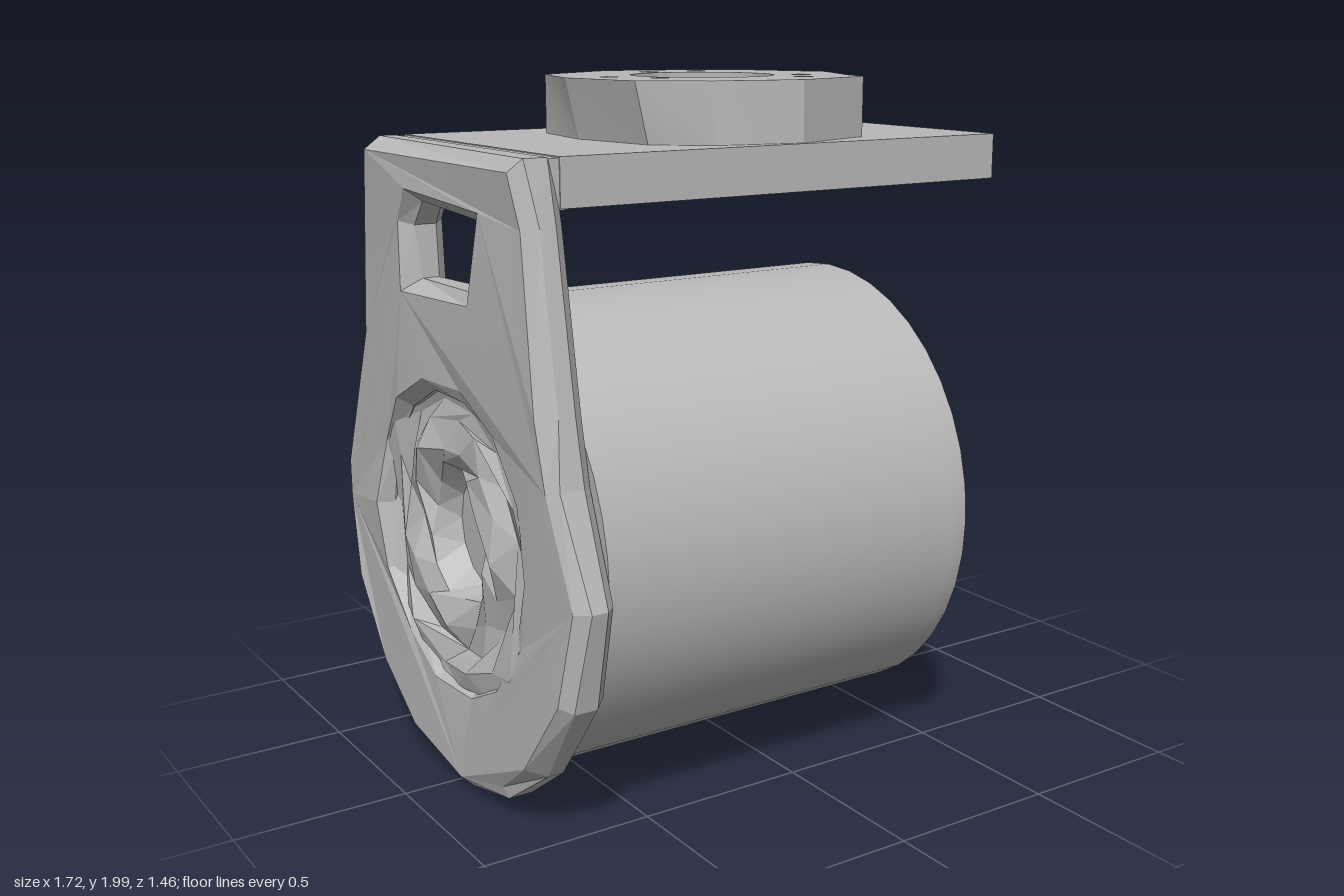
import * as THREE from 'three';
import { toCreasedNormals } from 'three/addons/utils/BufferGeometryUtils.js';

const TAU = Math.PI * 2;

// Repeatable value in -1..1 from a position, so shared corners move together
function noise(x, y, z) {
  const s = Math.sin(Math.round(x * 500) * 12.99 + Math.round(y * 500) * 78.23 + Math.round(z * 500) * 37.72) * 4375.85;
  return (s - Math.floor(s)) * 2 - 1;
}

function circlePath(x, y, r, sides) {
  const pts = [];
  for (let i = 0; i < sides; i++) {
    const a = (i / sides) * TAU;
    pts.push(new THREE.Vector2(x + r * Math.cos(a), y + r * Math.sin(a)));
  }
  return new THREE.Path(pts);
}

// Outline and hole points are pairs; z is flipped so the shape can be turned into place
const flipped = (pairs) => pairs.map(([a, b]) => new THREE.Vector2(a, -b));

export function createModel() {
  const model = new THREE.Group();
  const steel = new THREE.MeshStandardMaterial({ color: 0xb8b8b8 });
  steel.name = 'grey metal';

  function add(name, geometry, crease = 0.35) {
    const mesh = new THREE.Mesh(toCreasedNormals(geometry, crease), steel);
    mesh.name = name;
    model.add(mesh);
    return mesh;
  }

  // Extrude upwards from y, with shape drawn in x and -z
  function slab(shape, y, height) {
    const g = new THREE.ExtrudeGeometry(shape, { depth: height, bevelEnabled: false });
    return g.rotateX(-Math.PI / 2).translate(0, y, 0);
  }

  // Motor body with a drilled end cap
  const axisY = 0.74, radius = 0.668;
  add('motorBody', new THREE.CylinderGeometry(radius, radius, 1.15, 40)
    .rotateZ(Math.PI / 2).translate(-0.135, axisY, 0));
  const cap = new THREE.Shape(circlePath(0, axisY, radius, 40).getPoints());
  for (const z of [-0.315, 0.315]) {
    for (const y of [0.43, 1.06]) cap.holes.push(circlePath(-z, y, 0.028, 6));
  }
  add('motorEndCap', new THREE.ExtrudeGeometry(cap, { depth: 0.05, bevelEnabled: false })
    .rotateY(Math.PI / 2).translate(0.44, 0, 0));

  // Top plate and mounting ring share the centre bore and six screw holes
  const screws = [[-0.3, 0], [-0.22, 0.14], [0.27, 0.14], [0.18, 0.27], [0.18, -0.28], [0.01, -0.28]];
  const drill = (shape) => {
    shape.holes.push(circlePath(0.015, 0, 0.21, 24));
    for (const [x, z] of screws) shape.holes.push(circlePath(x, -z, 0.032, 5));
    return shape;
  };
  const plate = new THREE.Shape(flipped([[-0.715, 0.46], [0.735, 0.46], [0.735, -0.47], [-0.715, -0.47]]));
  add('topPlate', slab(drill(plate), 1.7, 0.13));
  const ring = new THREE.Shape(flipped([
    [-0.43, -0.02], [-0.38, 0.27], [-0.2, 0.39], [0.05, 0.445], [0.33, 0.35], [0.36, 0.24],
    [0.48, -0.02], [0.36, -0.3], [0.08, -0.44], [-0.07, -0.44], [-0.35, -0.28],
  ]));
  const ringGeometry = slab(drill(ring), 1.83, 0.17);
  // Left flank leans inward toward the plate
  const rp = ringGeometry.attributes.position;
  for (let i = 0; i < rp.count; i++) {
    if (rp.getY(i) < 1.9 && rp.getX(i) < -0.36) rp.setX(i, rp.getX(i) + 0.04);
  }
  add('mountingRing', ringGeometry, 0.4);

  // Jagged lip on the free end of the top plate
  const lip = [[0.735, 0.45], [0.79, 0.2], [0.83, 0.1], [0.77, -0.02], [0.86, -0.12], [0.765, -0.22], [0.735, -0.46]];
  const lipCorners = [];
  for (let i = 0; i < lip.length - 1; i++) {
    const [xa, za] = lip[i], [xb, zb] = lip[i + 1];
    const a = [xa, 1.7, za], b = [xb, 1.7, zb];
    const topA = [0.73, 1.8, za], topB = [0.73, 1.8, zb];
    const lowA = [0.6, 1.685, za], lowB = [0.6, 1.685, zb];
    lipCorners.push(topA, a, b, topA, b, topB, lowA, b, a, lowA, lowB, b);
  }
  const lipGeometry = new THREE.BufferGeometry();
  lipGeometry.setAttribute('position', new THREE.Float32BufferAttribute(lipCorners.flat(), 3));
  lipGeometry.computeVertexNormals();
  add('plateLip', lipGeometry, 0.1);

  // Side bracket: rough tapered plate with a window and a round opening
  const bracket = new THREE.Shape(flipped([
    [0.46, -1.83], [0.5, -1.66], [0.58, -1.2], [0.62, -1.02], [0.73, -0.73], [0.67, -0.45],
    [0.48, -0.2], [0.3, -0.07], [0.06, -0.01], [-0.27, -0.06], [-0.5, -0.2], [-0.65, -0.45],
    [-0.73, -0.7], [-0.73, -0.82], [-0.58, -1.25], [-0.49, -1.7], [-0.46, -1.83],
  ].map(([z, y]) => [-z, y])));
  bracket.holes.push(new THREE.Path(flipped([
    [-0.21, -1.65], [-0.15, -1.46], [0.19, -1.45], [0.2, -1.6], [0.15, -1.67],
  ])));
  bracket.holes.push(circlePath(0, axisY, 0.42, 14));
  const bracketGeometry = new THREE.ExtrudeGeometry(bracket, {
    depth: 0.06, bevelEnabled: true, bevelThickness: 0.035, bevelSize: 0.035, bevelOffset: -0.035, bevelSegments: 1,
  }).rotateY(Math.PI / 2).translate(-0.81, 0, 0);
  const bp = bracketGeometry.attributes.position;
  for (let i = 0; i < bp.count; i++) {
    const x = bp.getX(i);
    if (x < -0.76) bp.setX(i, x + 0.015 * noise(x, bp.getY(i), bp.getZ(i)));
  }
  add('sideBracket', bracketGeometry, 0.1);

  // Rough hub around the motor shaft, made of jittered rings
  const rings = [[0.02, -0.715], [0.17, -0.715], [0.2, -0.81], [0.27, -0.82], [0.34, -0.8], [0.4, -0.82], [0.46, -0.83]];
  const sides = 14;
  const hubPoint = (r, i) => {
    const [rad, x] = rings[r];
    const k = i % sides, a = ((k + (r % 2) * 0.5) / sides) * TAU;
    const n = r > 1 ? noise(r, k, 3) : 0;
    const rr = rad + 0.02 * noise(k, r, 7) * (r > 1 ? 1 : 0);
    return [x + 0.03 * n, axisY + rr * Math.cos(a), rr * Math.sin(a)];
  };
  const hubCorners = [];
  for (let r = 0; r < rings.length - 1; r++) {
    for (let i = 0; i < sides; i++) {
      const a = hubPoint(r, i), b = hubPoint(r, i + 1);
      const c = hubPoint(r + 1, i), d = hubPoint(r + 1, i + 1);
      hubCorners.push(a, d, c, a, b, d);
    }
  }
  // Corners are reversed so the faces look outward along -x
  const hubGeometry = new THREE.BufferGeometry();
  hubGeometry.setAttribute('position', new THREE.Float32BufferAttribute(hubCorners.flat(), 3));
  const normalCheck = new THREE.Vector3().subVectors(new THREE.Vector3(...hubCorners[1]), new THREE.Vector3(...hubCorners[0]))
    .cross(new THREE.Vector3().subVectors(new THREE.Vector3(...hubCorners[2]), new THREE.Vector3(...hubCorners[0])));
  if (normalCheck.x > 0) {
    const flippedCorners = [];
    for (let i = 0; i < hubCorners.length; i += 3) flippedCorners.push(hubCorners[i], hubCorners[i + 2], hubCorners[i + 1]);
    hubGeometry.setAttribute('position', new THREE.Float32BufferAttribute(flippedCorners.flat(), 3));
  }
  hubGeometry.computeVertexNormals();
  add('shaftHub', hubGeometry, 0.1);

  // Strip joining the bracket to the top plate
  add('bracketJoint', new THREE.BoxGeometry(0.07, 0.13, 0.92).translate(-0.735, 1.762, -0.003));

  return model;
}
